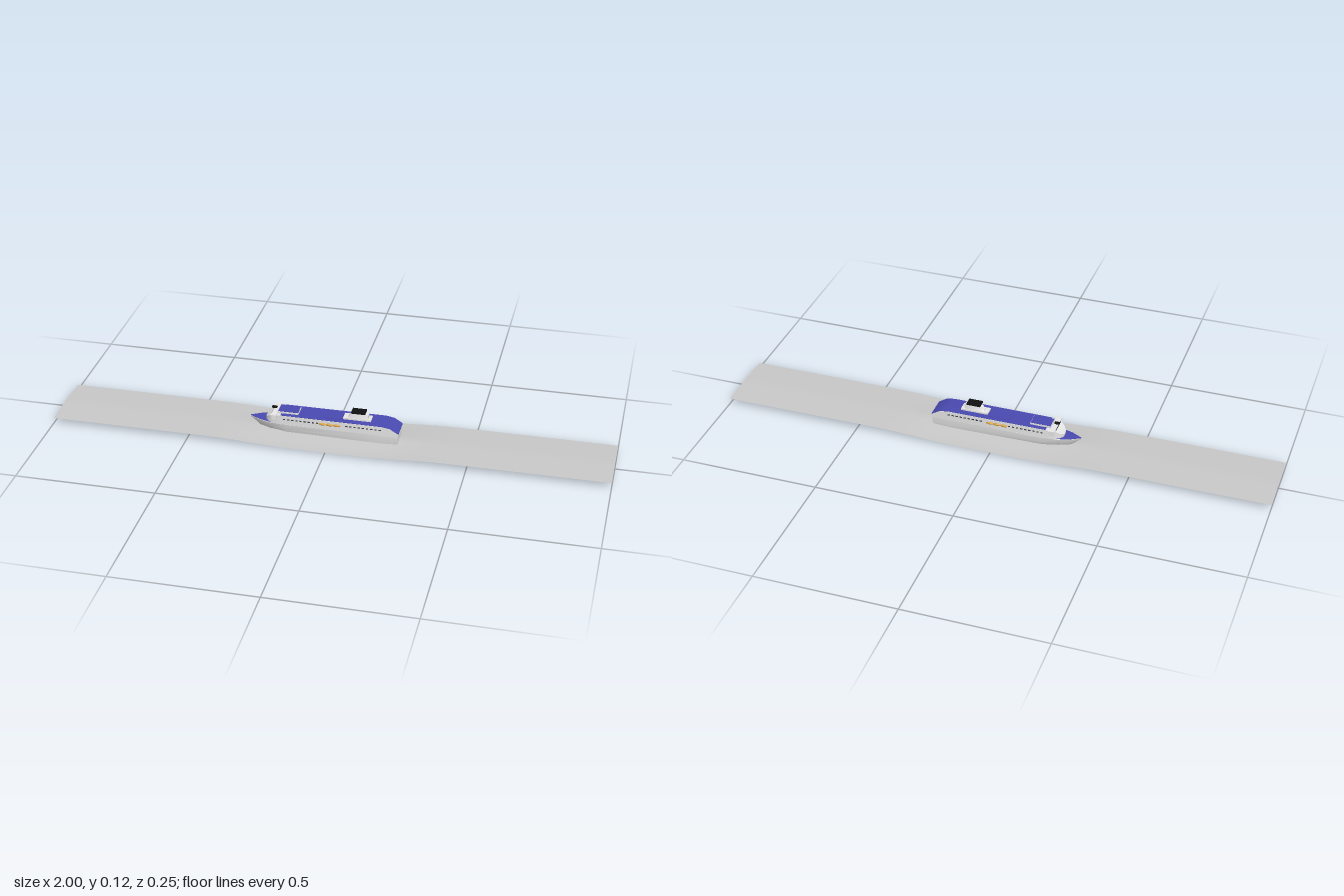
import * as THREE from 'three';
import { toCreasedNormals } from 'three/addons/utils/BufferGeometryUtils.js';

const mat = (name, color, side = THREE.FrontSide) => {
  const m = new THREE.MeshStandardMaterial({ color, side });
  m.name = name;
  return m;
};

// Skin through symmetric sections; each station is [x, [[halfWidth, y], ...from bottom to top]]
function loft(stations) {
  const rings = stations.map(([x, half]) => [
    ...half.map(([w, y]) => [x, y, w]),
    ...half.slice().reverse().map(([w, y]) => [x, y, -w]),
  ]);
  const pos = [];
  const tri = (...pts) => pts.forEach((p) => pos.push(...p));
  const n = rings[0].length;
  for (let i = 0; i < rings.length - 1; i++) {
    for (let j = 0; j < n; j++) {
      const k = (j + 1) % n;
      const a = rings[i][j], b = rings[i][k], c = rings[i + 1][k], d = rings[i + 1][j];
      tri(a, d, c);
      tri(a, c, b);
    }
  }
  const first = rings[0], last = rings[rings.length - 1];
  for (let j = 1; j < n - 1; j++) {
    tri(first[0], first[j], first[j + 1]);
    tri(last[0], last[j + 1], last[j]);
  }
  const g = new THREE.BufferGeometry();
  g.setAttribute('position', new THREE.Float32BufferAttribute(pos, 3));
  g.computeVertexNormals();
  return toCreasedNormals(g, 0.6);
}

export function createModel() {
  const ship = new THREE.Group();
  const white = mat('white paint', 0xe8e8e8);
  const blue = mat('blue deck', 0x4a4ab2);
  const red = mat('red antifouling', 0xb00606);
  const black = mat('black', 0x111111);
  const glass = mat('dark glass', 0x3a3d48);
  const amber = mat('amber lifeboat', 0xd9a03a);
  const sea = mat('grey water', 0xc8c8c8, THREE.DoubleSide);

  const add = (name, geo, material, x = 0, y = 0, z = 0) => {
    const m = new THREE.Mesh(geo, material);
    m.name = name;
    m.position.set(x, y, z);
    ship.add(m);
    return m;
  };
  const box = (name, material, w, h, d, x, y, z) =>
    add(name, new THREE.BoxGeometry(w, h, d), material, x, y, z);

  // Long strip of water, ridged along the middle and pressed down beside the ship
  const water = new THREE.PlaneGeometry(2, 0.254, 80, 12);
  water.rotateX(-Math.PI / 2);
  const p = water.attributes.position;
  for (let i = 0; i < p.count; i++) {
    const t = Math.abs(p.getZ(i)) / 0.127;
    const dip = Math.exp(-((p.getX(i) / 0.3) ** 4));
    p.setY(i, 0.0235 - 0.004 * t - 0.0125 * dip * Math.min(1, t * 1.3));
  }
  water.computeVertexNormals();
  add('water', water, sea);

  // Underwater hull
  const keel = [[-0.265, 0.001, 0.008], [-0.22, 0.008, 0.02], [-0.14, 0.018, 0.036],
    [0, 0.022, 0.039], [0.14, 0.02, 0.039], [0.2, 0.014, 0.037], [0.235, 0.008, 0.034]];
  add('underwaterHull', loft(keel.map(([x, b, w], i) => {
    const y = i === 6 ? 0.012 : i === 5 ? 0.005 : 0;
    return [x, [[b, y], [w * 0.85, 0.006 + y * 0.5], [w, 0.016]]];
  })), red);

  // White hull with raked, flared bow
  const hull = [[-0.298, 0.0005, 0.001, 0.047, 0.051], [-0.28, 0.001, 0.012, 0.033, 0.051],
    [-0.26, 0.004, 0.024, 0.016, 0.051], [-0.22, 0.019, 0.037, 0.015, 0.051],
    [-0.16, 0.033, 0.042, 0.015, 0.051], [0.18, 0.039, 0.042, 0.015, 0.051],
    [0.243, 0.036, 0.041, 0.018, 0.051]];
  add('hull', loft(hull.map(([x, b, t, y0, y1]) =>
    [x, [[b, y0], [(b + t * 2) / 3, y0 + (y1 - y0) * 0.4], [t, y1]]])), white);

  // Blue foredeck inside the bow
  const fore = hull.slice(0, 5).map(([x, , t]) => [x, [[t * 0.9, 0.0505], [t * 0.9, 0.0525]]]);
  add('foredeck', loft(fore), blue);

  // Superstructure with rounded front and sloping stern
  const house = [[-0.238, 0.012, 0.062], [-0.229, 0.026, 0.07], [-0.213, 0.036, 0.082],
    [-0.18, 0.041, 0.085], [0.185, 0.042, 0.085], [0.215, 0.0418, 0.08], [0.245, 0.041, 0.062]];
  add('superstructure', loft(house.map(([x, w, y]) => [x, [[w, 0.05], [w, y]]])), white);

  // Blue upper deck following the stern slope
  add('upperDeck', loft(house.slice(3).map(([x, w, y]) =>
    [x + 0.0015, [[w * 0.97, y - 0.001], [w * 0.97, y + 0.0015]]])), blue);

  // Forward raised deck and the bridge
  box('forwardDeckhouse', white, 0.075, 0.008, 0.05, -0.155, 0.089, 0);
  box('forwardDeckhouseRoof', blue, 0.073, 0.001, 0.048, -0.155, 0.0935, 0);
  box('bridge', white, 0.02, 0.005, 0.096, -0.203, 0.0855, 0);
  box('bridgeWindows', glass, 0.002, 0.003, 0.06, -0.2135, 0.0855, 0);
  const mast = add('forwardMast', new THREE.CylinderGeometry(0.002, 0.003, 0.012, 8), white, -0.21, 0.09, 0);
  mast.rotation.z = 0.2;
  box('mastTop', black, 0.018, 0.004, 0.012, -0.209, 0.0955, 0);

  // Midship pool deck
  box('poolDeck', blue, 0.08, 0.002, 0.05, 0, 0.087, 0);

  // Funnel with black cap
  box('funnelHouse', white, 0.1, 0.007, 0.036, 0.093, 0.089, 0);
  add('funnel', loft([[0.06, [[0.012, 0.09], [0.007, 0.096]]],
    [0.075, [[0.016, 0.09], [0.012, 0.112]]],
    [0.115, [[0.016, 0.09], [0.012, 0.112]]],
    [0.132, [[0.012, 0.09], [0.009, 0.107]]]]), white);
  box('funnelCap', black, 0.05, 0.007, 0.031, 0.097, 0.1145, 0);
  for (const x of [0.083, 0.097, 0.111])
    add('exhaustPipe', new THREE.CylinderGeometry(0.004, 0.004, 0.006, 10), black, x, 0.118, 0);

  for (const s of [-1, 1]) {
    box('bridgeWing', white, 0.018, 0.016, 0.007, -0.2, 0.078, s * 0.0445);
    // Lifeboats hung amidships
    for (const x of [-0.026, 0, 0.026]) {
      const boat = add('lifeboat', new THREE.SphereGeometry(1, 12, 8), amber, x, 0.072, s * 0.0445);
      boat.scale.set(0.0135, 0.0045, 0.0045);
    }
    // Rows of side windows
    for (let i = 0; i < 24; i++) {
      const x = -0.165 + i * 0.015;
      if (Math.abs(x) > 0.045) box('sideWindow', glass, 0.008, 0.004, 0.001, x, 0.072, s * 0.0422);
    }
  }
  const g = new THREE.Group();
  g.name = 'cruiseShip';
  g.add(ship);
  return g;
}
